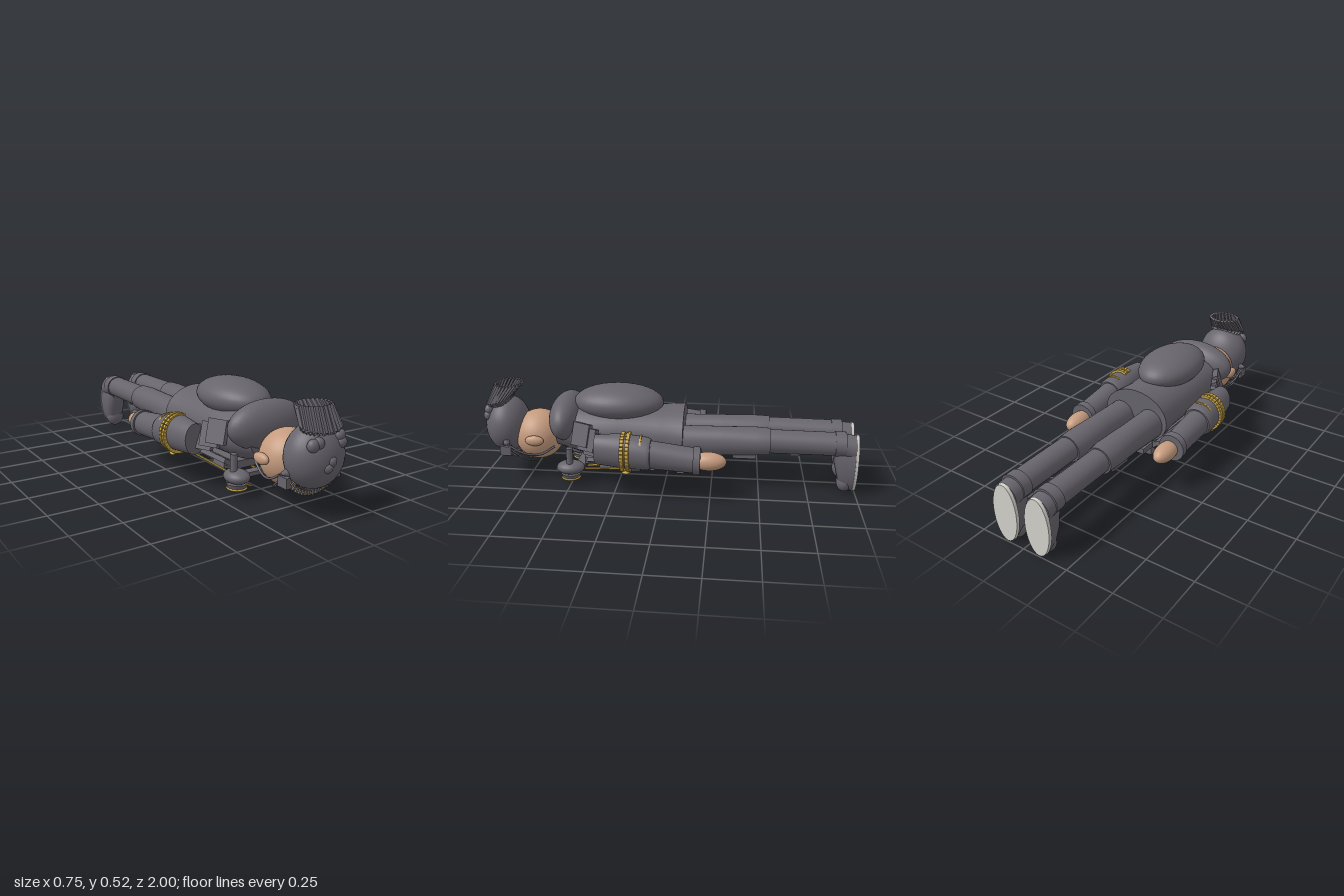
import * as THREE from 'three';

const mat = (name, color, side = THREE.FrontSide) => {
  const m = new THREE.MeshStandardMaterial({ color, side });
  m.name = name;
  return m;
};

export function createModel() {
  const cloth = mat('grey cloth', 0x67646c);
  const skin = mat('skin', 0xc59b7e);
  const gold = mat('gold trim', 0xc9a443);
  const soleMat = mat('pale sole', 0xd3d2cb);
  const root = new THREE.Group();
  root.name = 'lyingFigure';

  const add = (name, geo, m, pos = [0, 0, 0], rot = [0, 0, 0]) => {
    const mesh = new THREE.Mesh(geo, m);
    mesh.name = name;
    mesh.position.set(...pos);
    mesh.rotation.set(...rot);
    root.add(mesh);
    return mesh;
  };
  const ball = (name, m, pos, r, rot) => {
    const mesh = add(name, new THREE.SphereGeometry(1, 36, 24), m, pos, rot);
    mesh.scale.set(...r);
    return mesh;
  };
  const box = (name, m, pos, size, rot) => add(name, new THREE.BoxGeometry(...size), m, pos, rot);
  const tube = (name, m, pts, r) => add(name, new THREE.TubeGeometry(
    new THREE.CatmullRomCurve3(pts.map(p => new THREE.Vector3(...p))), 20, r, 6), m);
  // straight bar between two points
  const bar = (name, m, a, b, w, d) => {
    const A = new THREE.Vector3(...a), B = new THREE.Vector3(...b);
    const mesh = add(name, new THREE.BoxGeometry(w, A.distanceTo(B), d), m);
    mesh.position.copy(A).lerp(B, 0.5);
    mesh.quaternion.setFromUnitVectors(new THREE.Vector3(0, 1, 0), B.sub(A).normalize());
    return mesh;
  };
  // capped loft through ellipses [z, cx, cy, rx, ry], listed from high z to low z
  const loft = (name, m, secs) => {
    const n = 32, first = secs[0], last = secs[secs.length - 1], pos = [], idx = [];
    const point = s => [s[0], s[1], s[2], 0, 0];
    const rings = [point(first), first, ...secs, last, point(last)];
    rings.forEach(([z, cx, cy, rx, ry], j) => {
      for (let i = 0; i < n; i++) {
        const t = i / n * Math.PI * 2;
        pos.push(cx + rx * Math.cos(t), cy + ry * Math.sin(t), z);
        if (j === rings.length - 1) continue;
        const a = j * n + i, b = j * n + (i + 1) % n;
        idx.push(a, a + n, b, b, a + n, b + n);
      }
    });
    const g = new THREE.BufferGeometry();
    g.setAttribute('position', new THREE.Float32BufferAttribute(pos, 3));
    g.setIndex(idx);
    g.computeVertexNormals();
    return add(name, g, m);
  };

  // torso, shoulders and hump on the back
  loft('torso', cloth, [[0.58, 0, 0.29, 0.13, 0.11], [0.45, 0, 0.285, 0.18, 0.135],
    [0.25, 0, 0.28, 0.175, 0.14], [0.02, 0, 0.275, 0.175, 0.14], [-0.1, 0, 0.275, 0.19, 0.147]]);
  ball('shoulders', cloth, [0, 0.345, 0.535], [0.222, 0.122, 0.092]);
  ball('backHump', cloth, [0, 0.43, 0.255], [0.157, 0.094, 0.24]);

  // head, hair and ears
  ball('face', skin, [0, 0.23, 0.7], [0.14, 0.136, 0.135]);
  ball('hair', cloth, [0, 0.285, 0.872], [0.148, 0.153, 0.118]);
  for (const [x, y, z, r] of [[-0.082, 0.36, 0.955, 0.03], [-0.054, 0.367, 0.957, 0.027],
    [0.07, 0.384, 0.95, 0.028], [0.076, 0.353, 0.955, 0.028],
    [0.004, 0.283, 0.975, 0.026], [-0.014, 0.256, 0.973, 0.026]])
    ball('hairCurl', cloth, [x, y, z], [r, r, 0.025]);

  // flared topknot made of strips
  for (let i = 0; i < 24; i++) {
    const t = i / 24 * Math.PI * 2, c = Math.cos(t), s = Math.sin(t);
    const low = [0.1 * c, 0.425 - 0.018 * s, 0.91 + 0.062 * s];
    const top = [0.083 * c, 0.515, 0.853 + 0.07 * s];
    bar('topknotStrip', cloth, low, top, 0.017, 0.012);
    bar('topknotRoot', cloth, [0.07 * c, 0.395, 0.885 + 0.05 * s], low, 0.015, 0.012);
  }

  // toothed brow band with gold beads
  for (let i = 0; i <= 16; i++) {
    const t = -Math.PI / 2 + (i / 16 - 0.5) * 1.9, c = Math.cos(t), s = Math.sin(t);
    box('browBandTooth', cloth, [0.168 * c, 0.28 + 0.168 * s, 0.85], [0.01, 0.025, 0.06], [0, 0, t + Math.PI / 2]);
    ball('browBead', gold, [0.168 * c, 0.28 + 0.168 * s, 0.883], [0.004, 0.004, 0.004]);
  }
  add('browBand', new THREE.TorusGeometry(0.168, 0.008, 6, 28, 1.9), cloth, [0, 0.28, 0.83], [0, 0, -Math.PI / 2 - 0.95]);

  // gold button line and buckle on the chest
  box('chestPlate', cloth, [0, 0.125, 0.17], [0.22, 0.04, 0.52]);
  box('collarPlate', cloth, [0, 0.085, 0.46], [0.2, 0.022, 0.05]);
  box('buckle', cloth, [0, 0.062, 0.18], [0.1, 0.03, 0.08]);
  box('buckleFace', gold, [0, 0.044, 0.18], [0.05, 0.008, 0.05]);
  box('hemPlate', cloth, [0, 0.1, -0.085], [0.2, 0.07, 0.04]);

  for (const s of [1, -1]) {
    ball('ear', skin, [s * 0.15, 0.243, 0.69], [0.022, 0.028, 0.05]);
    tube('cheekWire', cloth, [[s * 0.152, 0.21, 0.83], [s * 0.145, 0.165, 0.75], [s * 0.125, 0.155, 0.67], [s * 0.11, 0.2, 0.59]], 0.006);
    tube('jawWire', cloth, [[s * 0.148, 0.19, 0.83], [s * 0.125, 0.125, 0.75], [s * 0.07, 0.098, 0.7]], 0.005);
    box('templeClip', cloth, [s * 0.145, 0.18, 0.85], [0.025, 0.05, 0.06]);
    add('templeSpike', new THREE.ConeGeometry(0.02, 0.05, 8), cloth, [s * 0.155, 0.22, 0.85], [0, 0, -s * Math.PI / 2]);
    ball('eye', cloth, [s * 0.05, 0.116, 0.74], [0.018, 0.012, 0.012]);

    // chest pods with gold rims
    ball('chestPod', cloth, [s * 0.147, 0.1, 0.5], [0.06, 0.036, 0.075]);
    add('podDisc', new THREE.CylinderGeometry(0.054, 0.045, 0.025, 28), cloth, [s * 0.145, 0.055, 0.5]);
    add('podRim', new THREE.TorusGeometry(0.046, 0.006, 6, 28), gold, [s * 0.145, 0.043, 0.5], [Math.PI / 2, 0, 0]);
    bar('podStripe', gold, [s * 0.11, 0.068, 0.569], [s * 0.15, 0.084, 0.576], 0.008, 0.008);
    add('podSpike', new THREE.ConeGeometry(0.012, 0.06, 8), cloth, [s * 0.195, 0.082, 0.5], [0, 0, -s * Math.PI / 2]);
    add('podPost', new THREE.CylinderGeometry(0.018, 0.018, 0.1, 12), cloth, [s * 0.165, 0.165, 0.5]);

    // coat front panels, gold piping and pouches
    box('coatPanel', cloth, [s * 0.115, 0.13, 0.16], [0.09, 0.025, 0.5], [0, 0, s * 0.5]);
    for (const x of [0.05, 0.12])
      bar('goldPiping', gold, [s * x, 0.06 + x * 0.2, 0.43], [s * x, 0.075 + x * 0.2, -0.06], 0.008, 0.008);
    for (const z of [0.3, 0.04])
      box('pouch', cloth, [s * 0.085, 0.098, z], [0.065, 0.03, 0.1], [0, 0, s * 0.2]);

    // shoulder straps
    for (let i = 0; i < 3; i++)
      box('shoulderStrap', cloth, [s * (0.205 + i * 0.014), 0.31 - i * 0.02, 0.42 - i * 0.035],
        [0.03, 0.12, 0.1], [0, -s * 0.45, s * 0.3]);

    // sleeves, hand and gold bands
    loft('upperSleeve', cloth, [[0.335, s * 0.277, 0.262, 0.055, 0.078], [0.2, s * 0.28, 0.262, 0.078, 0.09],
      [0.07, s * 0.283, 0.252, 0.085, 0.084], [0.05, s * 0.283, 0.25, 0.076, 0.076]]);
    loft('forearm', cloth, [[0.08, s * 0.283, 0.25, 0.068, 0.073], [-0.17, s * 0.283, 0.225, 0.063, 0.065]]);
    loft('cuff', cloth, [[-0.165, s * 0.283, 0.226, 0.071, 0.073], [-0.2, s * 0.283, 0.223, 0.071, 0.071]]);
    ball('hand', skin, [s * 0.276, 0.22, -0.24], [0.05, 0.047, 0.09]);
    ball('thumb', skin, [s * 0.25, 0.18, -0.24], [0.016, 0.018, 0.045]);
    for (const [z, r, k] of [[0.19, 0.0105, 1], [0.162, 0.0105, 1], [0.1, 0.005, 0.9]]) {
      for (let i = 0; i < 20; i++) {
        const t = -1.85 + i / 19 * 3.7;
        box('goldBandLink', gold, [s * (0.279 + 0.086 * k * Math.cos(t)), 0.257 + 0.094 * k * Math.sin(t), z],
          [r * 1.6, 0.0165, r * 1.8], [0, 0, s * t]);
      }
    }
    for (const x of [0.26, 0.285, 0.31]) ball('bandBead', gold, [s * x, 0.155, 0.175], [0.012, 0.009, 0.02]);

    // trousers, boots and soles
    loft('thigh', cloth, [[-0.05, s * 0.09, 0.25, 0.075, 0.085], [-0.3, s * 0.092, 0.262, 0.072, 0.077],
      [-0.48, s * 0.093, 0.268, 0.08, 0.073], [-0.55, s * 0.095, 0.268, 0.072, 0.07]]);
    loft('bootShaft', cloth, [[-0.54, s * 0.095, 0.27, 0.063, 0.062], [-0.9, s * 0.095, 0.268, 0.064, 0.06]]);
    loft('ankleCuff', cloth, [[-0.88, s * 0.095, 0.268, 0.07, 0.065], [-0.935, s * 0.095, 0.268, 0.07, 0.064]]);
    loft('heel', cloth, [[-0.92, s * 0.095, 0.262, 0.064, 0.06], [-0.985, s * 0.095, 0.25, 0.066, 0.066]]);
    loft('foot', cloth, [[-0.88, s * 0.095, 0.23, 0.035, 0.05], [-0.91, s * 0.095, 0.185, 0.055, 0.12],
      [-0.935, s * 0.094, 0.16, 0.06, 0.15], [-0.985, s * 0.094, 0.165, 0.07, 0.154]]);
    ball('toe', cloth, [s * 0.09, 0.06, -0.945], [0.055, 0.055, 0.042]);
    loft('sole', soleMat, [[-0.985, s * 0.094, 0.165, 0.073, 0.158], [-1, s * 0.094, 0.165, 0.07, 0.154]]);
    box('kneePad', cloth, [s * 0.095, 0.193, -0.42], [0.07, 0.025, 0.12]);
    box('thighPouch', cloth, [s * 0.11, 0.175, -0.2], [0.07, 0.03, 0.09]);
    box('shinStrap', cloth, [s * 0.095, 0.21, -0.68], [0.05, 0.015, 0.05]);
  }
  return root;
}
